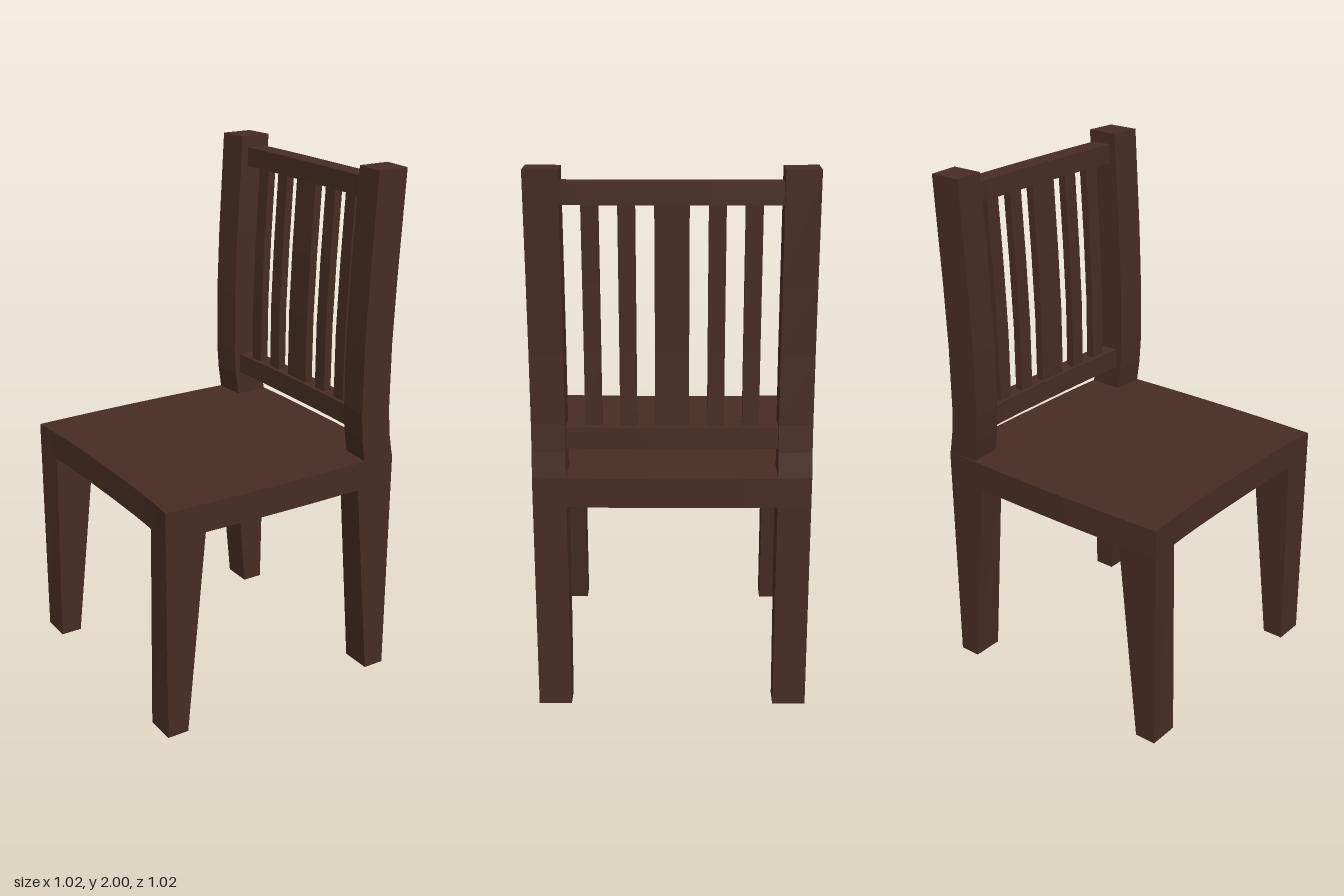
import * as THREE from 'three';

const wood = new THREE.MeshStandardMaterial({ color: 0x472c22 });
wood.name = 'darkWood';

// Gentle bow of the whole chair: the middle sits further back than the sides
const bow = (z) => 0.017 * (1 - Math.pow(Math.abs(z) / 0.5, 3));

function add(parent, name, geometry) {
  const mesh = new THREE.Mesh(geometry, wood);
  mesh.name = name;
  parent.add(mesh);
  return mesh;
}

// Upright four-sided bar; profile rows are [y, frontX, backX, bowAmount]
function bar(profile, zA, zB) {
  const z0 = Math.min(zA, zB), z1 = Math.max(zA, zB);
  const pos = [], idx = [];
  for (const [y, f, b, k = 1] of profile) {
    const s0 = k * bow(z0), s1 = k * bow(z1);
    pos.push(f + s0, y, z0, f + s1, y, z1, b + s1, y, z1, b + s0, y, z0);
  }
  for (let r = 0; r < profile.length - 1; r++) {
    for (let i = 0; i < 4; i++) {
      const a = r * 4 + i, b = r * 4 + (i + 1) % 4;
      idx.push(a, b, b + 4, a, b + 4, a + 4);
    }
  }
  const t = (profile.length - 1) * 4;
  idx.push(0, 2, 1, 0, 3, 2, t, t + 1, t + 2, t, t + 2, t + 3);
  const g = new THREE.BufferGeometry();
  g.setAttribute('position', new THREE.Float32BufferAttribute(pos, 3));
  g.setIndex(idx);
  const flat = g.toNonIndexed();
  flat.computeVertexNormals();
  return flat;
}

// Horizontal board with bowed front and back edges, and optionally bulged ends
function board(x0, x1, halfZ, y0, y1, bulge = 0) {
  const n = 12, pts = [];
  const zAt = (i) => halfZ * (2 * i / n - 1);
  for (let i = 0; i <= n; i++) pts.push(new THREE.Vector2(x1 + bow(zAt(i)), zAt(i)));
  const ends = (side, from, to) => {
    for (let i = 1; i < n && bulge; i++) {
      const t = i / n;
      pts.push(new THREE.Vector2(from + (to - from) * t, side * (halfZ + bulge * 4 * t * (1 - t))));
    }
  };
  ends(1, x1, x0);
  for (let i = n; i >= 0; i--) pts.push(new THREE.Vector2(x0 + bow(zAt(i)), zAt(i)));
  ends(-1, x0, x1);
  const g = new THREE.ExtrudeGeometry(new THREE.Shape(pts), { depth: y1 - y0, bevelEnabled: false });
  g.rotateX(-Math.PI / 2);
  g.translate(0, y0, 0);
  return g;
}

export function createModel() {
  const chair = new THREE.Group();
  chair.name = 'chair';

  // Seat
  add(chair, 'seat', board(-0.51, 0.49, 0.5, 0.8, 0.91, 0.011));

  // Tapered front legs, and rear legs running up into curved back posts
  const frontLeg = [[0, -0.51, -0.425, 0], [0.81, -0.51, -0.345]];
  const rearPost = [
    [0, 0.405, 0.49, 0], [0.8, 0.33, 0.49], [0.91, 0.355, 0.487], [1.0, 0.342, 0.471],
    [1.1, 0.335, 0.463], [1.35, 0.335, 0.462], [1.6, 0.344, 0.471], [2.0, 0.366, 0.492],
  ];
  for (const [side, s] of [['Left', 1], ['Right', -1]]) {
    add(chair, 'frontLeg' + side, bar(frontLeg, s * 0.38, s * 0.5));
    add(chair, 'rearPost' + side, bar(rearPost, s * 0.378, s * 0.5));
  }

  // Back rails
  add(chair, 'lowerRail', board(0.362, 0.44, 0.38, 1.005, 1.085));
  add(chair, 'upperRail', board(0.392, 0.471, 0.38, 1.88, 1.955));

  // Back slats: a wide one in the middle, two narrow ones on each side
  const slat = [[1.07, 0.378, 0.41], [1.35, 0.378, 0.41], [1.6, 0.387, 0.419], [1.9, 0.403, 0.435]];
  const slats = [[0, 0.06], [0.155, 0.03], [-0.155, 0.03], [0.28, 0.03], [-0.28, 0.03]];
  slats.forEach(([z, half], i) => add(chair, 'slat' + (i + 1), bar(slat, z - half, z + half)));

  return chair;
}
